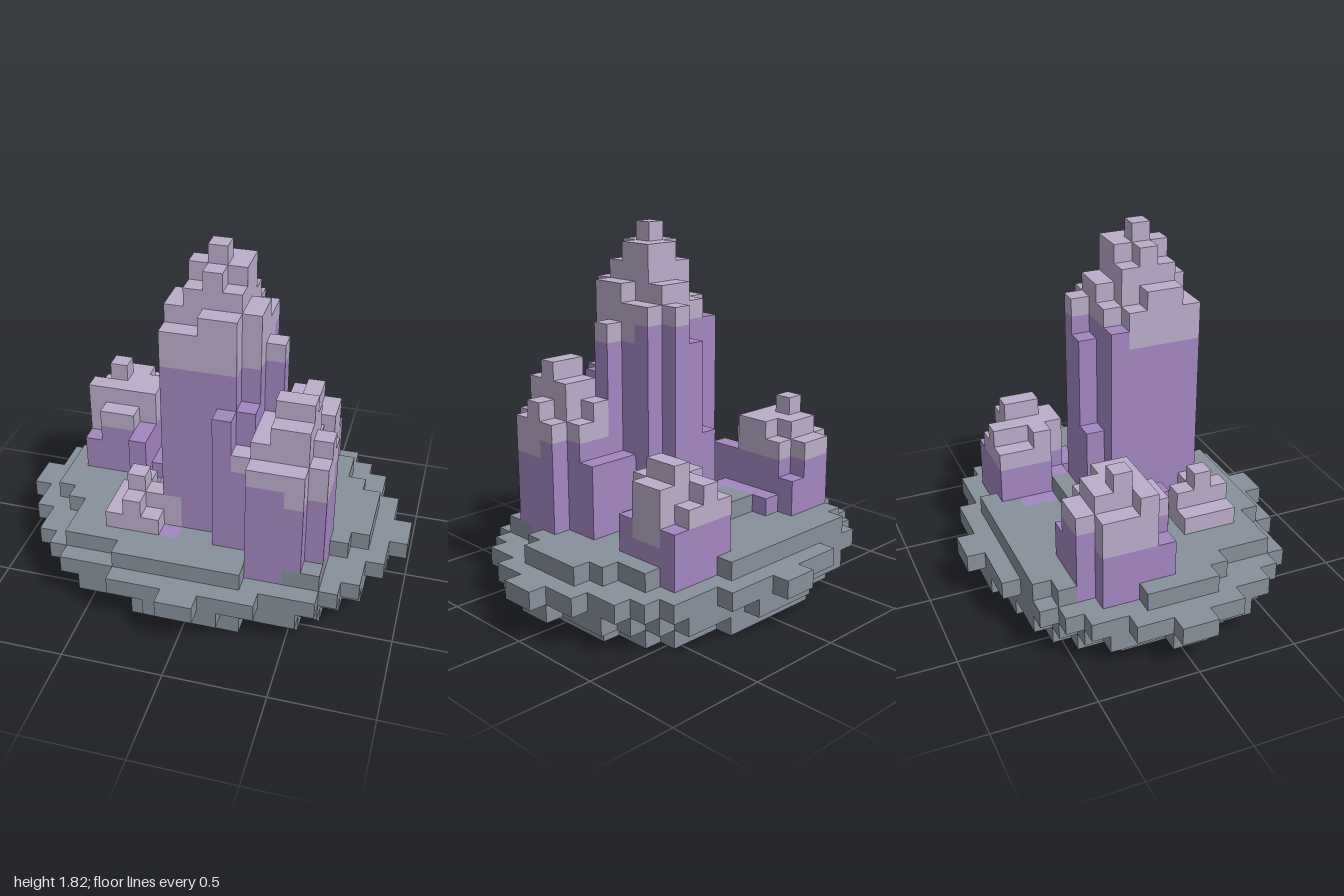
import * as THREE from 'three';

const U = 1 / 11; // edge length of one block

const mat = (name, color) => {
  const m = new THREE.MeshStandardMaterial({ color });
  m.name = name;
  return m;
};

// Half widths of each round stone layer, by row outward from the middle
const STONE = [
  [8, 8, 8, 7, 7, 6, 3],
  [10, 9, 9, 9, 8, 7, 6, 2],
  [11, 10, 10, 9, 9, 8, 7, 4, 1],
  [9, 9, 8, 7, 7, 7, 4],
];

// Height maps: one row per z, one base-36 digit per x, counted in blocks.
// tip gives the height where the pale end of the crystal begins.
const CRYSTALS = [
  { name: 'rightCrystal', x: 2, z: 0, tip: (x, z) => (x >= 5 && z >= 3 ? 8 : 9),
    rows: ['08880', '00ba0', 'abcca', 'abddb', 'abcca', '0aaa0'] },
  { name: 'leftCrystal', x: -8, z: -5, tip: (x) => (x === -8 ? 6 : 7),
    rows: ['08860', '89985', '8a995', '99995', '68875', '00070'] },
  { name: 'backCrystal', x: 1, z: -6, tip: (x, z) => (x === 5 && (z === -5 || z === -4) ? 5 : 6),
    rows: ['07876', '47898', '48898', '05886', '00550'] },
  { name: 'mainCrystal', x: -3, z: -2, tip: (x, z) => (z < 0 ? 15 : 14),
    rows: ['009eg00', '5fghhg0', '5gijjg0', '5hjkjhf', '0hijih0', '0gghhc0', '0400c00'] },
  { name: 'smallCrystal', x: -5, z: 2, tip: () => 4,
    rows: ['5650', '5766', '5650'] },
];

// Mesh made from the exposed faces of a set of blocks
function blockMesh(name, cells, filled, material) {
  const pos = [], nor = [];
  for (const c of cells) {
    for (let d = 0; d < 3; d++) {
      for (const s of [-1, 1]) {
        const next = [...c];
        next[d] += s;
        if (filled.has(next.join())) continue;
        const quad = [[0, 0], [1, 0], [1, 1], [0, 1]].map(([a, b]) => {
          const p = [...c];
          p[d] += s > 0 ? 1 : 0;
          p[(d + 1) % 3] += a;
          p[(d + 2) % 3] += b;
          return p.map((v) => v * U);
        });
        if (s < 0) quad.reverse();
        const n = [0, 0, 0];
        n[d] = s;
        for (const i of [0, 1, 2, 0, 2, 3]) {
          pos.push(...quad[i]);
          nor.push(...n);
        }
      }
    }
  }
  const g = new THREE.BufferGeometry();
  g.setAttribute('position', new THREE.Float32BufferAttribute(pos, 3));
  g.setAttribute('normal', new THREE.Float32BufferAttribute(nor, 3));
  const mesh = new THREE.Mesh(g, material);
  mesh.name = name;
  return mesh;
}

export function createModel() {
  const mats = {
    Stone: mat('stone grey', 0x87909a),
    Body: mat('crystal purple', 0xa386c0),
    Tip: mat('pale lilac', 0xbbadc9),
  };
  const filled = new Map();
  const set = (x, y, z, part, kind) => filled.set([x, y, z].join(), { c: [x, y, z], part, kind });
  const stone = (x0, x1, y, z) => {
    for (let x = x0; x < x1; x++) set(x, y, z, 'base', 'Stone');
  };

  // Stone base layers
  STONE.forEach((widths, y) => widths.forEach((w, r) => {
    for (const z of [r, -r - 1]) {
      let x0 = -w, x1 = w;
      if (y === 3 && r === 6) { x0 = z > 0 ? -4 : -6; x1 = 3; } // uneven rim
      if (y === 3 && z === -6) x1 = 6;
      stone(x0, x1, y, z);
    }
  }));

  // Low ridge behind the main crystal
  stone(-3, 2, 4, -3);
  stone(-3, 2, 4, -2);
  stone(-3, 4, 4, -1);

  // Crystals, rooted one block into the stone
  for (const k of CRYSTALS) {
    k.rows.forEach((row, j) => [...row].forEach((digit, i) => {
      const x = k.x + i, z = k.z + j, h = parseInt(digit, 36);
      for (let y = 3; y < h; y++) set(x, y, z, k.name, y >= k.tip(x, z) ? 'Tip' : 'Body');
    }));
  }

  // Rim stones in front of the right crystal
  for (const [x, z] of [[5, 5], [6, 4], [6, 2]]) stone(x, x + 1, 3, z);

  // One group per part, one mesh per colour
  const model = new THREE.Group();
  model.name = 'crystalCluster';
  for (const part of ['base', ...CRYSTALS.map((k) => k.name)]) {
    const group = new THREE.Group();
    group.name = part;
    for (const kind of Object.keys(mats)) {
      const cells = [...filled.values()].filter((v) => v.part === part && v.kind === kind).map((v) => v.c);
      if (cells.length) group.add(blockMesh(part + kind, cells, filled, mats[kind]));
    }
    model.add(group);
  }
  return model;
}
